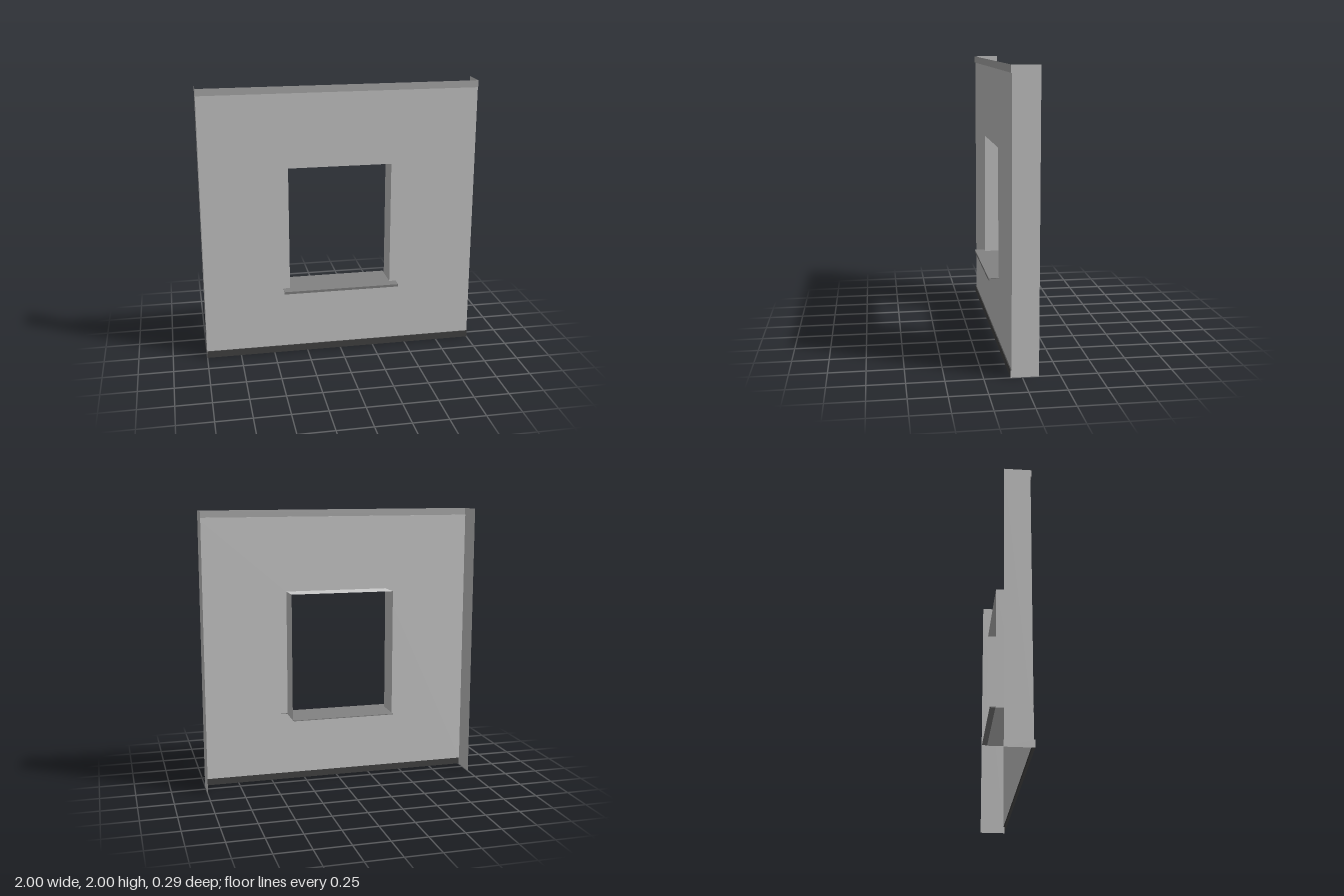
import * as THREE from 'three';

const FACE = 0.07;      // wall sheet plane
const TRIM = 0.077;     // top and bottom bands stand slightly proud
const BACK = -0.11;     // rear edge of flanges and window reveals
const BAND = 0.05;      // band height
const HALF = 0.375, SILL = 0.5, HEAD = 1.415;

const material = (color) =>
  new THREE.MeshStandardMaterial({ color, side: THREE.DoubleSide, flatShading: true });

export function createModel() {
  const group = new THREE.Group();
  const grey = material(0xcccccc);
  const topGrey = material(0xaeaeae);
  const baseGrey = material(0x444444);
  const sillGrey = material(0x838383);

  const add = (name, geometry, mat, x = 0, y = 0, z = 0) => {
    const mesh = new THREE.Mesh(geometry, mat);
    mesh.name = name;
    mesh.position.set(x, y, z);
    group.add(mesh);
    return mesh;
  };
  const points = (list) => list.map(([x, y]) => new THREE.Vector2(x, y));
  const flat = (name, width, depth, mat, y, z) =>
    add(name, new THREE.PlaneGeometry(width, depth).rotateX(-Math.PI / 2), mat, 0, y, z);

  // Wall sheet with the window opening
  const wall = new THREE.Shape(points([[-1, BAND], [1, BAND], [1, 2 - BAND], [-1, 2 - BAND]]));
  wall.holes.push(new THREE.Path(points([[-HALF, SILL], [-HALF, HEAD], [HALF, HEAD], [HALF, SILL]])));
  add('wall', new THREE.ShapeGeometry(wall), grey, 0, 0, FACE);

  // Coloured bands along the top and bottom, each with a narrow ledge
  for (const [name, y, ledgeY, mat] of [
    ['topBand', 2 - BAND / 2, 2 - BAND, topGrey],
    ['baseBand', BAND / 2, BAND, baseGrey],
  ]) {
    add(name, new THREE.PlaneGeometry(2, BAND), mat, 0, y, TRIM);
    flat(name + 'Ledge', 2, TRIM - FACE, mat, ledgeY, (TRIM + FACE) / 2);
  }

  // Side flanges, stepped to meet the bands
  const flange = new THREE.ShapeGeometry(new THREE.Shape(points([
    [BACK, 0], [TRIM, 0], [TRIM, BAND], [FACE, BAND],
    [FACE, 2 - BAND], [TRIM, 2 - BAND], [TRIM, 2], [BACK, 2],
  ]))).rotateY(-Math.PI / 2);
  add('leftFlange', flange, grey, 1);
  add('rightFlange', flange, grey, -1);

  // Window reveals
  const depth = FACE - BACK, middle = (FACE + BACK) / 2;
  flat('headReveal', HALF * 2, depth, grey, HEAD, middle);
  flat('bottomReveal', HALF * 2, depth, grey, SILL, middle);
  const jamb = new THREE.PlaneGeometry(depth, HEAD - SILL).rotateY(Math.PI / 2);
  add('leftReveal', jamb, grey, HALF, (HEAD + SILL) / 2, middle);
  add('rightReveal', jamb, grey, -HALF, (HEAD + SILL) / 2, middle);

  // Sill sheet with horns outside the opening and a turned-down front lip
  const horn = 0.425, front = 0.145, rear = -0.148;
  const sill = new THREE.Shape(points([
    [-horn, -front], [horn, -front], [horn, -FACE], [HALF, -FACE],
    [HALF, -rear], [-HALF, -rear], [-HALF, -FACE], [-horn, -FACE],
  ]));
  add('sill', new THREE.ExtrudeGeometry(sill, { depth: 0.005, bevelEnabled: false })
    .rotateX(-Math.PI / 2), sillGrey, 0, 0.503);
  add('sillLip', new THREE.BoxGeometry(horn * 2, 0.015, 0.005), sillGrey, 0, 0.4975, front - 0.0025);

  return group;
}
